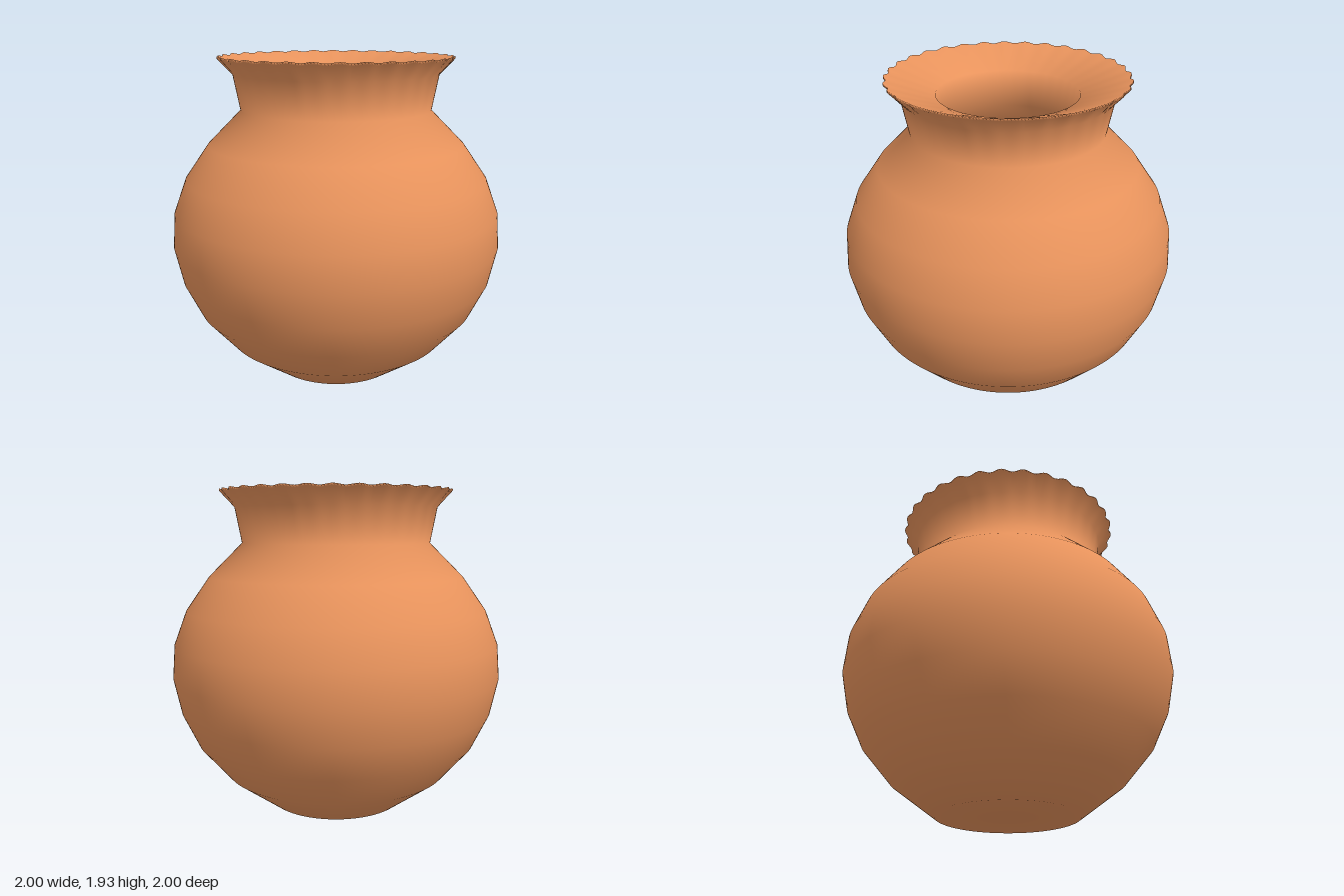
import * as THREE from 'three';
import { mergeVertices } from 'three/addons/utils/BufferGeometryUtils.js';

const RIPPLES = 32;
const SEGMENTS = RIPPLES * 8;
const WALL = 0.2;

// Outer profile from foot to neck: [radius, height]
const OUTER = [
  [0.42, 0], [0.69, 0.2], [0.86, 0.4], [0.955, 0.6], [1, 0.81], [0.985, 1.01],
  [0.91, 1.21], [0.77, 1.41], [0.57, 1.61], [0.61, 1.82],
];

// Smooth scallops around the lip
function rippleRim(geometry) {
  const p = geometry.attributes.position;
  for (let i = 0; i < p.count; i++) {
    if (p.getY(i) < 1.9) continue;
    const x = p.getX(i), z = p.getZ(i);
    const wave = Math.cos(RIPPLES * Math.atan2(z, x));
    const s = 1 + 0.012 * wave;
    p.setXYZ(i, x * s, p.getY(i) + 0.004 * wave, z * s);
  }
}

export function createModel() {
  const group = new THREE.Group();
  group.name = 'pot';

  // One closed section: underside, outer wall, thin flared lip, inner wall, floor
  const inner = OUTER.slice(1).reverse().map(([r, y]) => [r - WALL, y]);
  const section = [
    [0, 0], ...OUTER,
    [0.69, 1.91], [0.688, 1.922],
    ...inner, [0.22, 0.05], [0, 0.04],
  ].map(([r, y]) => new THREE.Vector2(r, y));

  let geometry = new THREE.LatheGeometry(section, SEGMENTS);
  rippleRim(geometry);

  // Weld the seam so the shading is smooth all round
  geometry.deleteAttribute('uv');
  geometry.deleteAttribute('normal');
  geometry = mergeVertices(geometry, 1e-4);
  geometry.computeVertexNormals();

  const clay = new THREE.MeshStandardMaterial({ color: 0xe8935c });
  const vessel = new THREE.Mesh(geometry, clay);
  vessel.name = 'vessel';
  group.add(vessel);
  return group;
}
